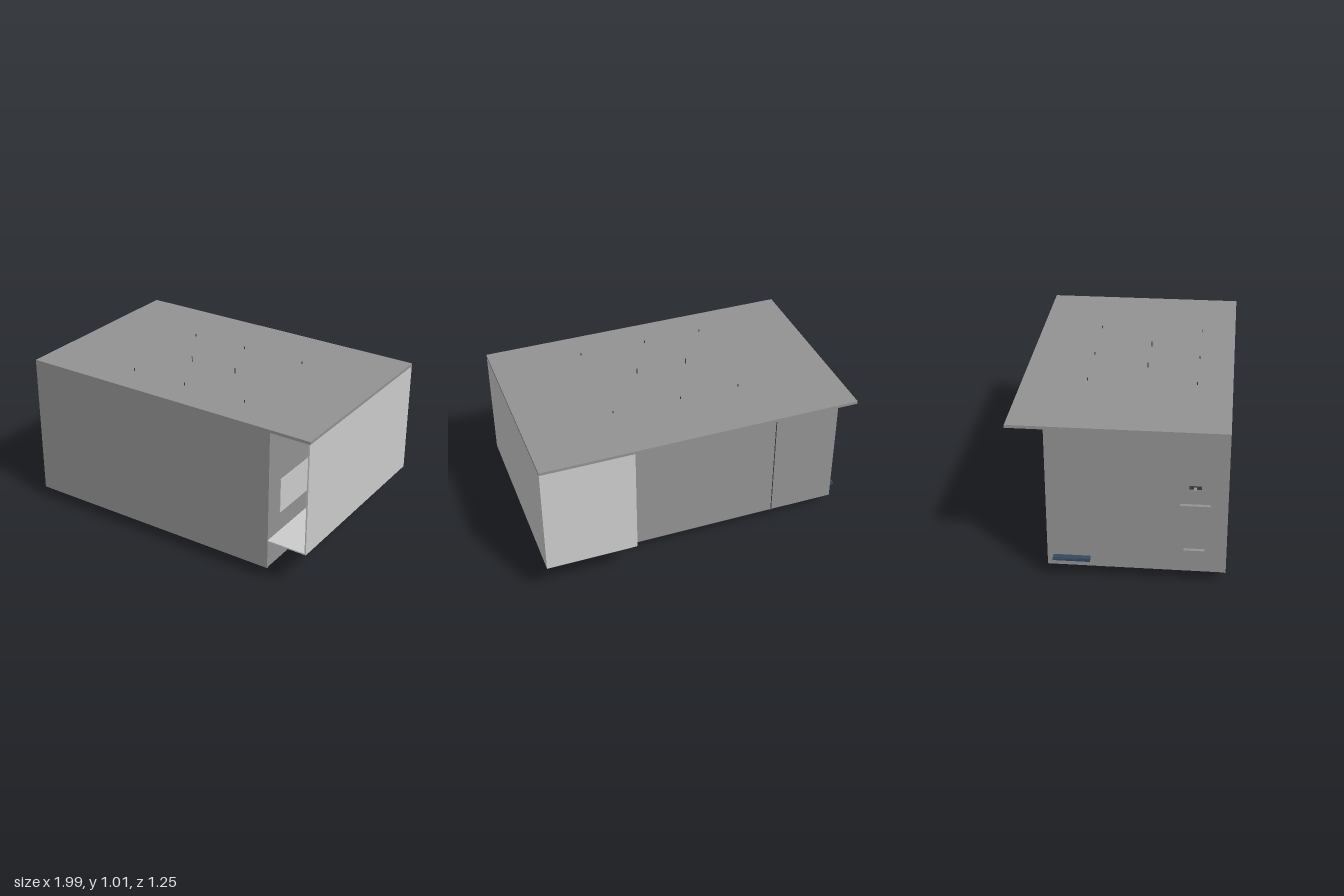
import * as THREE from 'three';

const mat = (color, side = THREE.FrontSide) => new THREE.MeshStandardMaterial({ color, side });

export function createModel() {
  const model = new THREE.Group();
  const light = mat(0xcccccc), grey = mat(0x929292), dark = mat(0x3c3c3c), blue = mat(0x34495e);
  const darkTwoSided = mat(0x3c3c3c, THREE.DoubleSide);

  const add = (name, geometry, material) => {
    const mesh = new THREE.Mesh(geometry, material);
    mesh.name = name;
    model.add(mesh);
    return mesh;
  };
  // Box given by its limits on each axis
  const box = (name, [x0, x1], [y0, y1], [z0, z1], material) => {
    const mesh = add(name, new THREE.BoxGeometry(x1 - x0, y1 - y0, z1 - z0), material);
    mesh.position.set((x0 + x1) / 2, (y0 + y1) / 2, (z0 + z1) / 2);
    return mesh;
  };

  // Main cabin with its front wall and roof
  box('cabin', [-0.955, 0.735], [0.082, 0.962], [-0.41, 0.612], grey);
  box('frontWall', [-0.955, 0.742], [0.08, 0.962], [0.61, 0.62], grey);
  box('sideWall', [0.73, 0.74], [0.082, 0.962], [-0.41, 0.61], grey);
  box('roof', [-0.955, 0.995], [0.962, 0.98], [-0.625, 0.62], grey);

  // Outer screen that wraps the right and back as an L-shaped passage
  box('outerSidePanel', [0.985, 0.994], [0.26, 0.962], [-0.625, 0.62], light);
  box('outerBackPanel', [0.435, 0.985], [0.26, 0.962], [-0.625, -0.616], light);
  box('sidePassageFloor', [0.74, 0.985], [0.26, 0.268], [-0.616, 0.62], light);
  box('backPassageFloor', [0.435, 0.74], [0.26, 0.268], [-0.616, -0.41], light);

  // Partition in the back passage and pale inset panels
  box('passagePartition', [0.505, 0.515], [0.268, 0.962], [-0.616, -0.41], grey);
  box('partitionInset', [0.502, 0.506], [0.268, 0.64], [-0.616, -0.412], light);
  box('sideWallInset', [0.739, 0.743], [0.39, 0.61], [0.0, 0.49], light);

  // Seams
  box('backSeam', [-0.543, -0.538], [0.082, 0.962], [-0.412, -0.409], dark);
  for (const x of [-0.535, 0.115])
    box('floorSeam', [x - 0.003, x + 0.003], [0.08, 0.084], [-0.41, 0.61], grey);

  // Fittings under the floor
  box('floorHatch', [0.18, 0.43], [0.077, 0.083], [0.4, 0.61], grey);
  const disc = add('floorDisc', new THREE.CylinderGeometry(0.13, 0.13, 0.004, 32), dark);
  disc.position.set(-0.2, 0.081, -0.25);

  // Hollow tapered duct: rectangular rings from top to bottom, then up inside
  const rings = [[0.083, 0.175, 0.143], [0.022, 0.147, 0.131], [0.002, 0.143, 0.13],
    [0.002, 0.125, 0.112], [0.045, 0.118, 0.105]];
  const points = [], index = [];
  rings.forEach(([y, hx, hz], r) => {
    for (const [sx, sz] of [[-1, -1], [1, -1], [1, 1], [-1, 1]])
      points.push(-0.137 + sx * hx, y, 0.168 + sz * hz);
    if (r === 0) return;
    for (let i = 0; i < 4; i++) {
      const a = (r - 1) * 4 + i, b = (r - 1) * 4 + (i + 1) % 4;
      index.push(a, b, a + 4, b, b + 4, a + 4);
    }
  });
  const last = (rings.length - 1) * 4;
  index.push(last, last + 1, last + 2, last, last + 2, last + 3);
  let duct = new THREE.BufferGeometry();
  duct.setAttribute('position', new THREE.Float32BufferAttribute(points, 3));
  duct.setIndex(index);
  duct = duct.toNonIndexed();
  duct.computeVertexNormals();
  add('floorDuct', duct, darkTwoSided);

  // Window frame, lamp and blue step on the other end wall
  const frame = new THREE.Shape();
  frame.moveTo(-0.085, -0.16).lineTo(0.085, -0.16).lineTo(0.085, 0.16).lineTo(-0.085, 0.16).closePath();
  const hole = new THREE.Path();
  hole.moveTo(-0.06, -0.135).lineTo(-0.06, 0.135).lineTo(0.06, 0.135).lineTo(0.06, -0.135).closePath();
  frame.holes.push(hole);
  const windowFrame = add('windowFrame',
    new THREE.ExtrudeGeometry(frame, { depth: 0.025, bevelEnabled: false }), grey);
  windowFrame.rotation.y = -Math.PI / 2;
  windowFrame.position.set(-0.953, 0.37, 0.435);
  box('lampArm', [-0.995, -0.953], [0.634, 0.644], [0.425, 0.443], grey);
  box('lampPlate', [-0.962, -0.953], [0.63, 0.648], [0.4, 0.47], dark);
  box('step', [-0.99, -0.953], [0.13, 0.15], [-0.375, -0.16], blue);
  box('stepEdge', [-0.997, -0.99], [0.135, 0.147], [-0.375, -0.23], blue);

  // Roof pins: short outer rows and a taller middle pair
  const pin = (x, z, height) => {
    const mesh = add('roofPin', new THREE.CylinderGeometry(0.003, 0.003, height, 8), dark);
    mesh.position.set(x, 0.978 + height / 2, z);
  };
  for (const x of [-0.35, 0.02, 0.44])
    for (const z of [-0.24, 0.41]) pin(x, z, 0.018);
  for (const x of [-0.14, 0.175]) pin(x, 0.102, 0.035);

  return model;
}
